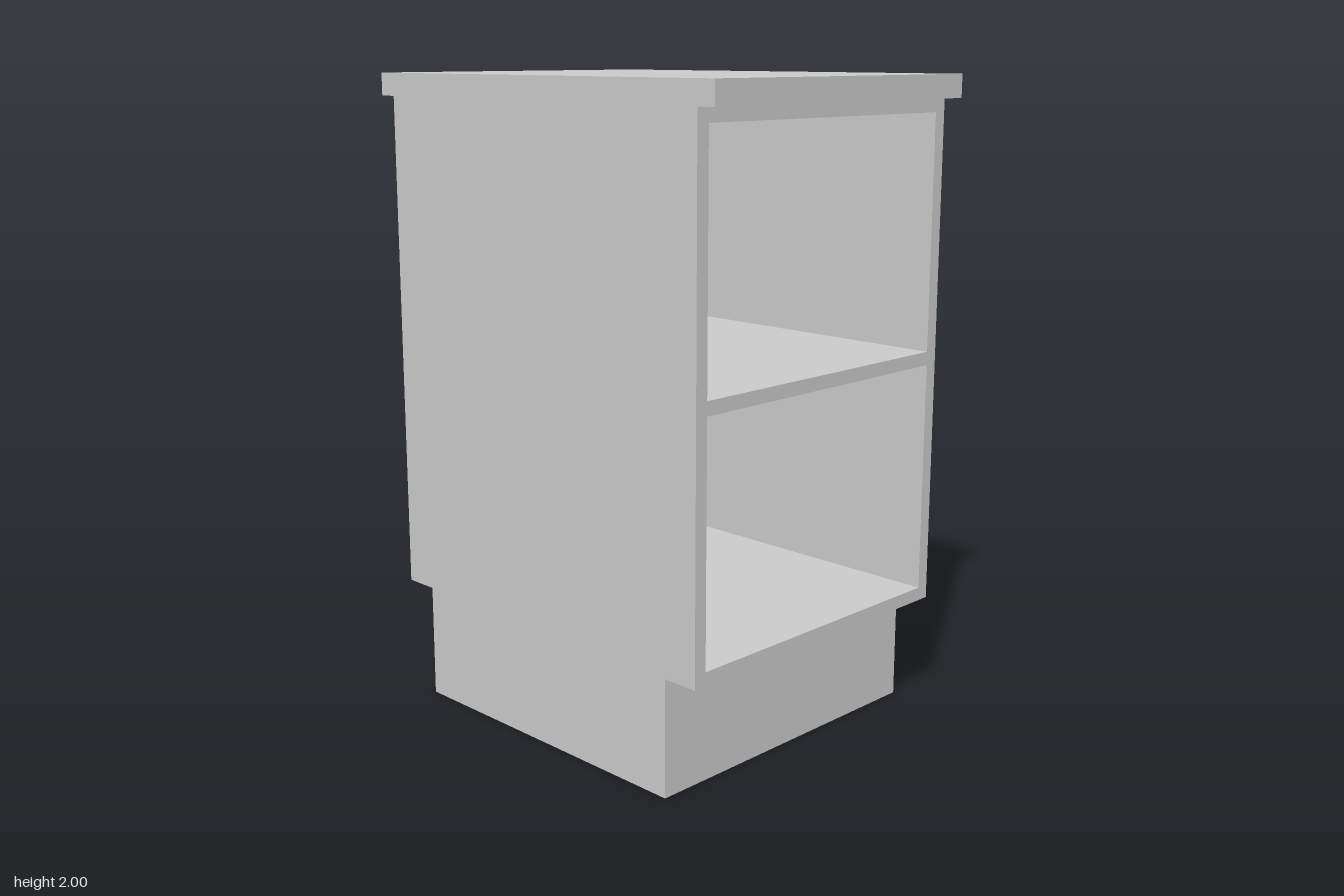
import * as THREE from 'three';

const W = 1.064;               // overall width
const D = 1.3;                 // carcass depth
const T = 0.042;               // panel thickness
const Y0 = 0.36, Y1 = 1.93;    // carcass bottom and top

const material = new THREE.MeshStandardMaterial({ color: 0xcccccc });

// Box given by its size, the height of its underside and its x and z centre
function panel(name, w, h, d, bottom, x = 0, z = 0) {
  const mesh = new THREE.Mesh(new THREE.BoxGeometry(w, h, d), material);
  mesh.name = name;
  mesh.position.set(x, bottom + h / 2, z);
  return mesh;
}

export function createModel() {
  const cabinet = new THREE.Group();
  cabinet.name = 'cabinet';
  const inner = W - 2 * T;

  // Recessed base and overhanging worktop
  cabinet.add(panel('plinth', W, Y0, 1.07, 0));
  cabinet.add(panel('worktop', W, 2 - Y1, 1.42, Y1));

  // Side panels
  for (const [name, s] of [['leftSide', 1], ['rightSide', -1]]) {
    cabinet.add(panel(name, T, Y1 - Y0, D, Y0, s * (W - T) / 2));
  }

  // Horizontal boards between the sides, flush with the front
  for (const [name, y] of [['floor', Y0], ['shelf', 1.122], ['ceiling', Y1 - T]]) {
    cabinet.add(panel(name, inner, T, D, y));
  }

  // Closed back
  cabinet.add(panel('backPanel', inner, Y1 - Y0, T, Y0, 0, -(D - T) / 2));

  return cabinet;
}
